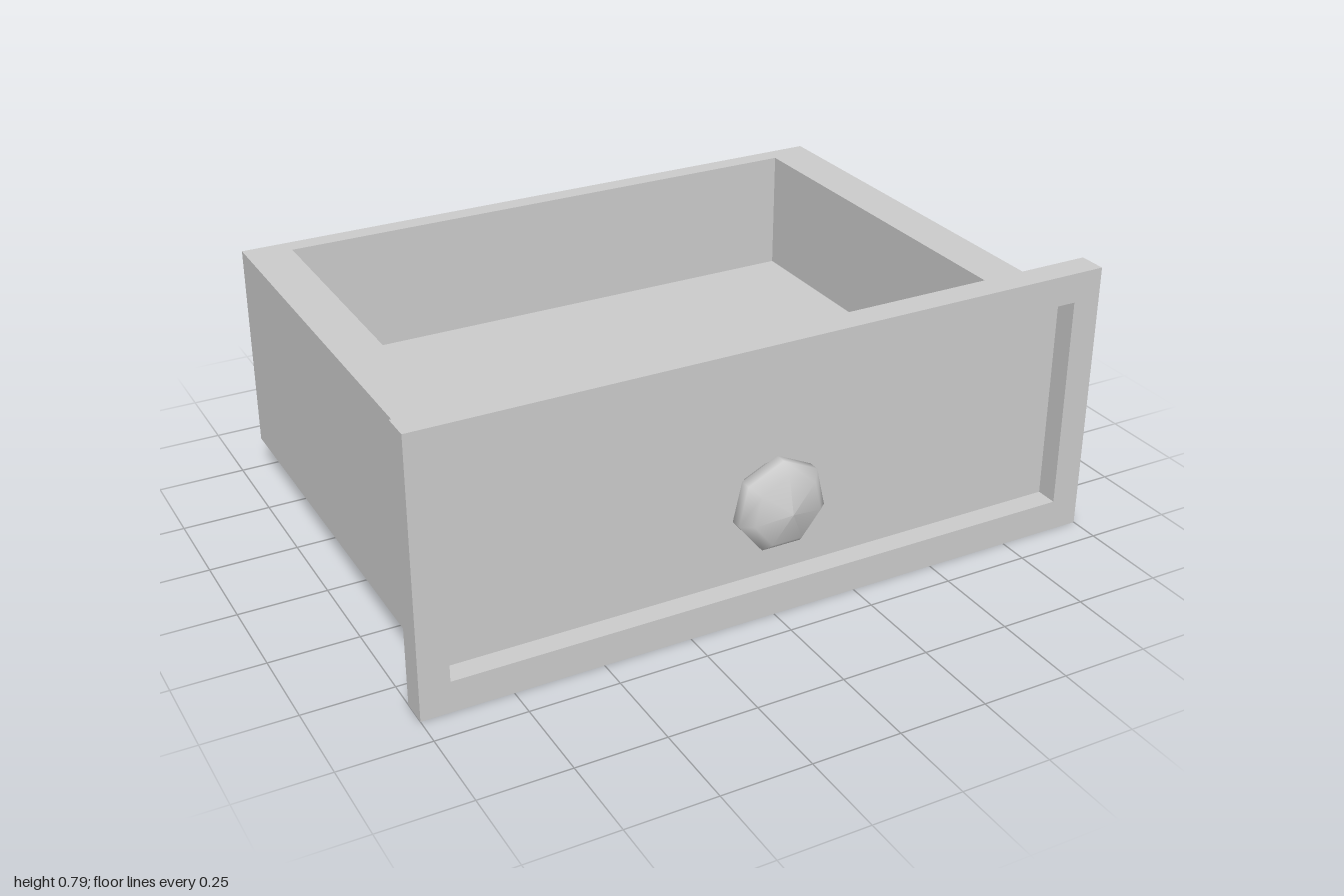
import * as THREE from 'three';

// Closed solid skinned through nested rectangles [x0, x1, y0, y1, z], capped at both ends.
function nestedRectangles(rings) {
  const corners = rings.map(([x0, x1, y0, y1, z]) => [
    [x0, y0, z], [x1, y0, z], [x1, y1, z], [x0, y1, z],
  ]);
  const positions = [];
  const quad = (a, b, c, d) => positions.push(...a, ...b, ...c, ...a, ...c, ...d);
  const first = corners[0];
  const last = corners[corners.length - 1];
  quad(first[3], first[2], first[1], first[0]);
  for (let r = 0; r < corners.length - 1; r++) {
    for (let i = 0; i < 4; i++) {
      const j = (i + 1) % 4;
      quad(corners[r][i], corners[r][j], corners[r + 1][j], corners[r + 1][i]);
    }
  }
  quad(...last);
  const geometry = new THREE.BufferGeometry();
  geometry.setAttribute('position', new THREE.Float32BufferAttribute(positions, 3));
  geometry.computeVertexNormals();
  return geometry;
}

export function createModel() {
  const model = new THREE.Group();
  model.name = 'drawer';

  const grey = new THREE.MeshStandardMaterial({ color: 0xcccccc });
  grey.name = 'light grey';

  const add = (name, geometry) => {
    const mesh = new THREE.Mesh(geometry, grey);
    mesh.name = name;
    model.add(mesh);
    return mesh;
  };

  // Open tray: thick sides, thinner front and back, raised floor
  const tray = nestedRectangles([
    [-0.935, 0.935, -0.585, 0.747, 0.093],
    [-0.935, 0.935, -0.585, 0.747, 0.698],
    [-0.805, 0.805, -0.515, 0.69, 0.698],
    [-0.805, 0.805, -0.515, 0.69, 0.34],
  ]);
  tray.rotateX(-Math.PI / 2);
  add('drawerBox', tray);

  // Front board with a recessed field
  add('frontPanel', nestedRectangles([
    [-1, 1, 0, 0.79, 0.585],
    [-1, 1, 0, 0.79, 0.664],
    [-0.917, 0.917, 0.09, 0.705, 0.664],
    [-0.917, 0.917, 0.09, 0.705, 0.6],
  ]));

  // Seven-sided smooth knob
  const profile = [
    [0.075, 0.598], [0.1, 0.63], [0.13, 0.66], [0.13, 0.692], [0.1, 0.722], [0, 0.747],
  ].map(([r, z]) => new THREE.Vector2(r, z));
  const knob = new THREE.LatheGeometry(profile, 7, Math.PI);
  knob.rotateX(Math.PI / 2);
  add('knob', knob).position.set(-0.003, 0.345, 0);

  return model;
}
